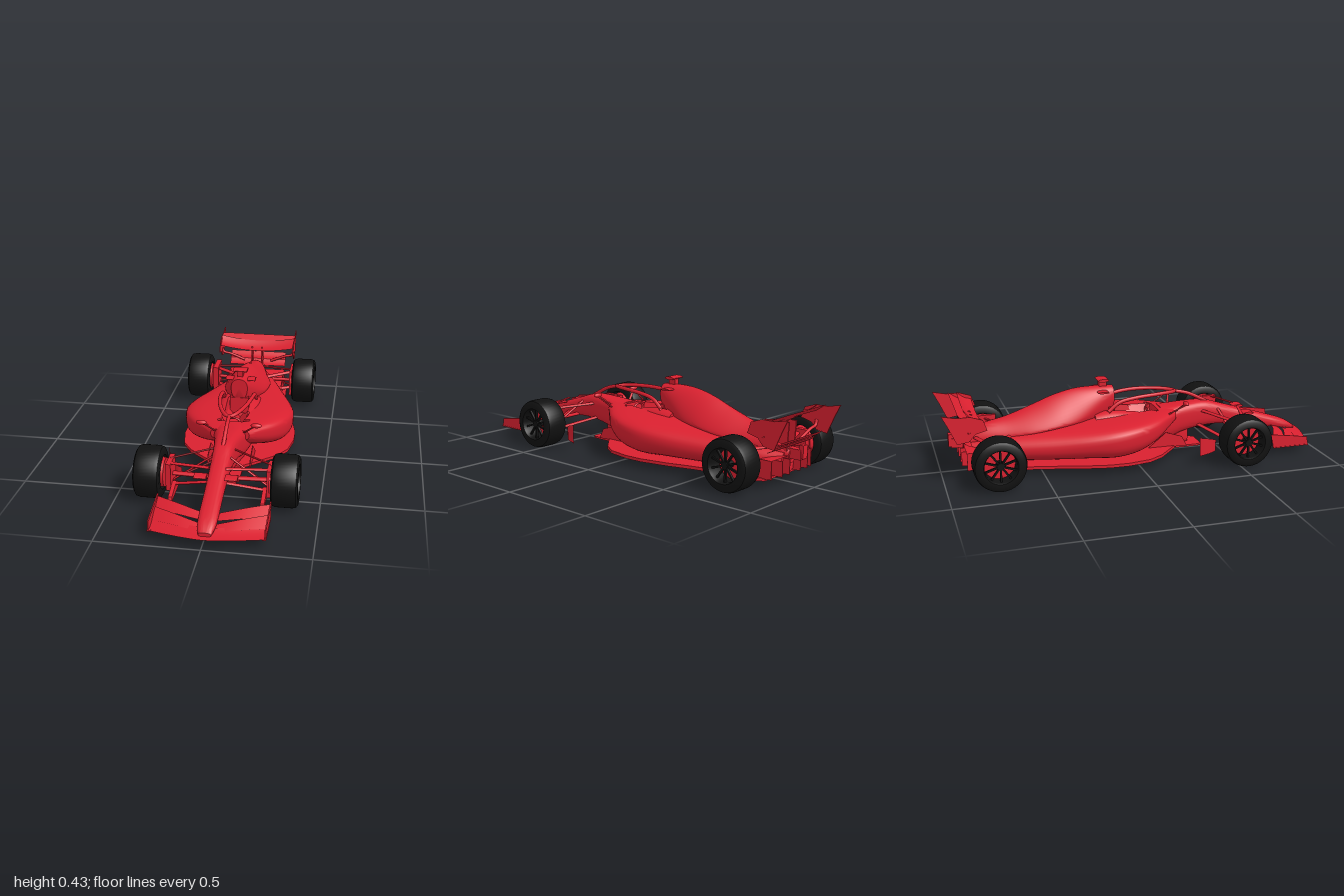
import * as THREE from 'three';
import { toCreasedNormals } from 'three/addons/utils/BufferGeometryUtils.js';

const red = new THREE.MeshStandardMaterial({ color: 0xd9202f, side: THREE.DoubleSide });
const black = new THREE.MeshStandardMaterial({ color: 0x111111, side: THREE.DoubleSide });
const SIDES = [-1, 1];

function add(parent, name, geometry, material = red) {
  const mesh = new THREE.Mesh(geometry, material);
  mesh.name = name;
  parent.add(mesh);
  return mesh;
}

const catmull = (a, b, c, d, t) =>
  b + 0.5 * t * (c - a + t * (2 * a - 5 * b + 4 * c - d + t * (3 * (b - c) + d - a)));

// Superellipse loft, front to back. Station: [z, halfWidth, bottom, widestY, top, power]
function loft(stations, rule, n = 48, steps = 5) {
  const rows = [], pos = [], idx = [], last = stations.length - 1;
  const at = (i) => stations[Math.min(last, Math.max(0, i))];
  for (let k = 0; k <= last * steps; k++) {
    const i = Math.min(last - 1, Math.floor(k / steps)), t = k / steps - i;
    rows.push(at(i).map((_, p) => catmull(at(i - 1)[p], at(i)[p], at(i + 1)[p], at(i + 2)[p], t)));
  }
  for (const [z, w, y0, ym, y1, p] of rows) {
    for (let i = 0; i < n; i++) {
      const a = (i / n) * Math.PI * 2, c = Math.cos(a), s = Math.sin(a);
      const x = w * Math.sign(c) * Math.abs(c) ** (2 / p);
      const y = ym + (s > 0 ? y1 - ym : y0 - ym) * Math.abs(s) ** (2 / p);
      pos.push(x, rule && s > 0 ? rule(x, y, z) : y, z);
    }
  }
  for (let j = 0; j < rows.length - 1; j++) for (let i = 0; i < n; i++) {
    const a = j * n + i, b = j * n + (i + 1) % n;
    idx.push(a, a + n, b, b, a + n, b + n);
  }
  for (const j of [0, rows.length - 1]) {
    const centre = pos.length / 3, r = rows[j];
    pos.push(0, r[3], r[0]);
    for (let i = 0; i < n; i++) {
      const a = j * n + i, b = j * n + (i + 1) % n;
      idx.push(centre, ...(j ? [b, a] : [a, b]));
    }
  }
  const g = new THREE.BufferGeometry();
  g.setAttribute('position', new THREE.Float32BufferAttribute(pos, 3));
  g.setIndex(idx);
  return toCreasedNormals(g, 0.7);
}

const shapeOf = (pts) => new THREE.Shape(pts.map((p) => new THREE.Vector2(...p)));

// Upright plate from [z, y] points, centred on x
const sidePlate = (pts, x, t = 0.006) =>
  new THREE.ExtrudeGeometry(shapeOf(pts), { depth: t, bevelEnabled: false })
    .rotateY(-Math.PI / 2).translate(x + t / 2, 0, 0);

// Flat plate from [x, z] points, with its top at y
const flatPlate = (pts, y, t) =>
  new THREE.ExtrudeGeometry(shapeOf(pts), { depth: t, bevelEnabled: false })
    .rotateX(Math.PI / 2).translate(0, y, 0);

const box = (w, h, d, x, y, z) => new THREE.BoxGeometry(w, h, d).translate(x, y, z);

// Rod between two points; wide stretches it into a blade along z
function rod(a, b, r, wide = 1) {
  const A = new THREE.Vector3(...a), B = new THREE.Vector3(...b), d = B.clone().sub(A);
  return new THREE.CylinderGeometry(r, r, d.length(), 10).scale(1, 1, wide)
    .applyQuaternion(new THREE.Quaternion().setFromUnitVectors(new THREE.Vector3(0, 1, 0), d.normalize()))
    .translate(...A.add(B).multiplyScalar(0.5).toArray());
}

// Thin curved surface: f(u in -1..1, v in 0..1) gives [x, y, z]
function sheet(f, nu = 32, nv = 8) {
  const g = new THREE.PlaneGeometry(2, 1, nu, nv), p = g.attributes.position;
  for (let i = 0; i < p.count; i++) p.setXYZ(i, ...f(p.getX(i), p.getY(i) + 0.5));
  g.computeVertexNormals();
  return g;
}

const tube = (pts, r) => new THREE.TubeGeometry(
  new THREE.CatmullRomCurve3(pts.map((p) => new THREE.Vector3(...p))), 40, r, 10);

// Wheel with its outer face on the side s
function wheel(name, x, y, z, width, s) {
  const g = new THREE.Group(), h = width / 2, R = 0.13;
  g.name = name;
  const profile = [[0.085, -h], [0.112, -h], [0.125, -h + 0.008], [R, -h + 0.025], [R, h - 0.025],
    [0.125, h - 0.008], [0.112, h], [0.085, h], [0.08, h - 0.02], [0.08, -h + 0.01], [0.085, -h]];
  add(g, 'tyre', toCreasedNormals(new THREE.LatheGeometry(
    profile.map((p) => new THREE.Vector2(...p)), 48).rotateZ(-Math.PI / 2), 0.6), black);
  add(g, 'brakeDrum', new THREE.CylinderGeometry(0.079, 0.072, 0.07, 32).rotateZ(Math.PI / 2)
    .translate(-s * 0.04, 0, 0));
  add(g, 'hub', new THREE.CylinderGeometry(0.018, 0.018, 0.05, 16).rotateZ(Math.PI / 2)
    .translate(s * (h - 0.04), 0, 0), black);
  for (let i = 0; i < 10; i++) {
    add(g, 'spoke', new THREE.BoxGeometry(0.012, 0.07, 0.009).translate(s * (h - 0.025), 0.05, 0)
      .rotateX((i / 10) * Math.PI * 2), black);
  }
  g.position.set(x, y, z);
  return g;
}

export function createModel() {
  const model = new THREE.Group(), car = new THREE.Group();
  model.name = 'racingCar';
  car.name = 'bodywork';
  car.position.x = 0.013;
  model.add(car);

  // Cockpit opening sunk into the upper body
  const sink = (x, y, z) => (z < 0.15 && z > -0.13 && Math.abs(x) < 0.058 ? Math.min(y, 0.15) : y);

  // Nose and tub, sidepods, engine cover
  add(car, 'noseAndTub', loft([
    [0.97, 0.03, 0.052, 0.062, 0.072, 2.5], [0.9, 0.044, 0.06, 0.085, 0.112, 2.8],
    [0.7, 0.045, 0.1, 0.135, 0.178, 3], [0.55, 0.048, 0.12, 0.17, 0.225, 3],
    [0.43, 0.054, 0.12, 0.19, 0.26, 3], [0.3, 0.07, 0.1, 0.19, 0.258, 3],
    [0.2, 0.09, 0.07, 0.18, 0.25, 3], [0.05, 0.11, 0.06, 0.17, 0.25, 3],
    [-0.1, 0.12, 0.06, 0.17, 0.268, 3], [-0.2, 0.12, 0.06, 0.17, 0.26, 3]], sink));
  add(car, 'sidepods', loft([
    [0.24, 0.1, 0.18, 0.215, 0.242, 3], [0.18, 0.155, 0.14, 0.205, 0.246, 3],
    [0.1, 0.225, 0.1, 0.19, 0.247, 3.2], [0, 0.275, 0.06, 0.18, 0.245, 3.2],
    [-0.12, 0.293, 0.04, 0.165, 0.24, 3], [-0.25, 0.275, 0.04, 0.15, 0.232, 2.6],
    [-0.42, 0.225, 0.04, 0.13, 0.218, 2.4], [-0.6, 0.165, 0.04, 0.12, 0.2, 2.2],
    [-0.75, 0.11, 0.04, 0.11, 0.18, 2.2], [-0.86, 0.06, 0.05, 0.11, 0.16, 2.2]], sink));
  add(car, 'engineCover', loft([
    [-0.085, 0.044, 0.27, 0.335, 0.384, 2.4], [-0.14, 0.06, 0.2, 0.31, 0.388, 2],
    [-0.28, 0.105, 0.15, 0.24, 0.386, 1.5], [-0.4, 0.125, 0.12, 0.22, 0.36, 1.3],
    [-0.52, 0.12, 0.1, 0.2, 0.315, 1.3], [-0.65, 0.09, 0.1, 0.18, 0.268, 1.5],
    [-0.78, 0.06, 0.1, 0.16, 0.235, 1.8], [-0.88, 0.03, 0.1, 0.14, 0.17, 2]]));

  // Floor with its outline mirrored, and the splitter
  const edge = [[0.06, 0.27], [0.13, 0.21], [0.23, 0.12], [0.28, 0.04], [0.302, -0.08], [0.3, -0.18],
    [0.27, -0.33], [0.235, -0.45], [0.2, -0.6], [0.19, -0.8], [0.16, -0.84]];
  const bothSides = (pts) => [...pts, ...pts.map(([x, z]) => [-x, z]).reverse()];
  add(car, 'floor', flatPlate(bothSides(edge), 0.052, 0.016));
  add(car, 'splitter', flatPlate(bothSides([[0.055, 0.4], [0.07, 0.38], [0.07, 0.2]]), 0.033, 0.01));
  add(car, 'splitterStay', loft([[0.34, 0.01, 0.03, 0.05, 0.14, 2], [0.26, 0.04, 0.03, 0.08, 0.18, 2.5],
    [0.15, 0.07, 0.03, 0.08, 0.18, 2.5]]));

  // Cockpit: seat back, steering wheel, halo
  add(car, 'headrest', box(0.1, 0.09, 0.035, 0, 0.235, -0.1));
  add(car, 'steeringWheel', new THREE.TorusGeometry(0.028, 0.006, 8, 24).scale(1.2, 0.8, 1)
    .translate(0, 0.225, 0.11));
  add(car, 'haloHoop', tube([[-0.088, 0.265, -0.13], [-0.085, 0.31, -0.07], [-0.083, 0.328, 0.02],
    [-0.066, 0.332, 0.14], [-0.028, 0.328, 0.24], [0, 0.324, 0.265], [0.028, 0.328, 0.24],
    [0.066, 0.332, 0.14], [0.083, 0.328, 0.02], [0.085, 0.31, -0.07], [0.088, 0.265, -0.13]], 0.0105));
  add(car, 'haloPillar', tube([[0, 0.325, 0.26], [0, 0.305, 0.34], [0, 0.25, 0.45]], 0.01));

  // Roof camera
  add(car, 'cameraPost', box(0.028, 0.04, 0.04, 0, 0.4, -0.14));
  add(car, 'cameraBar', new THREE.CylinderGeometry(0.03, 0.03, 0.075, 16).scale(0.27, 1, 1)
    .rotateZ(Math.PI / 2).translate(0, 0.42, -0.14));
  add(car, 'airboxWing', new THREE.CylinderGeometry(0.03, 0.03, 0.16, 16).scale(0.17, 1, 1)
    .rotateZ(Math.PI / 2).translate(0, 0.366, -0.15));

  // Front wing: bowed main plane with two flaps swept up at the sides
  const bow = (u) => 1 - 0.065 * Math.abs(u) ** 1.6;
  add(car, 'frontWingMainPlane', sheet((u, v) =>
    [u * 0.268, 0.04 + 0.016 * v * v + 0.012 * (1 - u * u), bow(u) - 0.085 * v]));
  for (const s of SIDES) for (const k of [0, 1]) {
    add(car, 'frontWingFlap', sheet((u, v) => {
      const q = (u + 1) / 2;
      return [s * (0.035 + 0.23 * q), 0.055 + 0.02 * k + (0.015 + 0.016 * q) * v + 0.008 * Math.sin(q * Math.PI),
        bow(q) - 0.07 - 0.065 * k - (0.045 + 0.025 * q) * v];
    }, 16, 4));
  }

  for (const s of SIDES) {
    add(car, 'frontWingEndplate', sidePlate([[0.94, 0.038], [0.93, 0.085], [0.8, 0.105], [0.72, 0.115],
      [0.735, 0.04]], s * 0.268));
    add(car, 'frontWingFootplate', box(0.018, 0.005, 0.2, s * 0.264, 0.04, 0.84));
    add(car, 'nosePod', new THREE.CylinderGeometry(0.03, 0.03, 0.06, 16).scale(0.25, 1, 1)
      .rotateZ(Math.PI / 2).translate(s * 0.074, 0.19, 0.66));

    // Mirrors on stalks
    add(car, 'mirror', new THREE.SphereGeometry(1, 20, 12).scale(0.028, 0.012, 0.014)
      .translate(s * 0.14, 0.29, 0.28));
    add(car, 'mirrorStalk', rod([s * 0.135, 0.285, 0.275], [s * 0.075, 0.235, 0.25], 0.004, 1.8));
    add(car, 'mirrorStrut', rod([s * 0.14, 0.28, 0.275], [s * 0.125, 0.235, 0.19], 0.004));

    // Front suspension
    for (const [y, inY, z0, z1] of [[0.2, 0.215, 0.57, 0.62], [0.2, 0.215, 0.52, 0.4],
      [0.08, 0.14, 0.56, 0.62], [0.08, 0.14, 0.52, 0.38]]) {
      add(car, 'frontWishbone', rod([s * 0.25, y, z0], [s * 0.04, inY, z1], 0.005, 2));
    }
    add(car, 'frontTrackRod', rod([s * 0.25, 0.132, 0.54], [s * 0.04, 0.132, 0.55], 0.009, 1.8));
    add(car, 'frontPushRod', rod([s * 0.24, 0.09, 0.54], [s * 0.045, 0.215, 0.5], 0.005, 1.6));
    add(car, 'frontBrakeDuct', box(0.025, 0.14, 0.12, s * 0.245, 0.135, 0.54));
    add(car, 'frontDuctVane', sidePlate([[0.68, 0.045], [0.67, 0.07], [0.56, 0.1], [0.48, 0.055]], s * 0.222, 0.02));
    add(car, 'wheelWakeVane', sheet((u, v) => {
      const q = (u + 1) / 2;
      return [s * (0.215 + 0.09 * q ** 0.7), 0.05 + v * (0.05 + 0.05 * q), 0.42 - 0.12 * q ** 1.6];
    }, 12, 3));
    add(car, 'floorFence', sidePlate([[0.3, 0.045], [0.27, 0.1], [0.18, 0.13], [0.08, 0.05]], s * 0.11, 0.004));

    // Rear suspension
    for (const [y, inY, z0, z1] of [[0.19, 0.18, -0.74, -0.63], [0.19, 0.18, -0.76, -0.82],
      [0.09, 0.1, -0.74, -0.62], [0.09, 0.1, -0.76, -0.84]]) {
      add(car, 'rearWishbone', rod([s * 0.24, y, z0], [s * 0.05, inY, z1], 0.006, 1.9));
    }
    add(car, 'driveShaft', rod([s * 0.24, 0.132, -0.745], [s * 0.04, 0.132, -0.745], 0.01));
    add(car, 'rearBrakeDuct', box(0.03, 0.15, 0.14, s * 0.23, 0.135, -0.745));

    // Diffuser walls and fences
    add(car, 'diffuserWall', sidePlate([[-0.62, 0.04], [-0.66, 0.09], [-0.8, 0.14], [-0.88, 0.14],
      [-0.88, 0.05]], s * 0.165));
    for (const x of [0.045, 0.105]) {
      add(car, 'diffuserFence', sidePlate([[-0.72, 0.045], [-0.84, 0.13], [-0.9, 0.13], [-0.9, 0.055]], s * x, 0.004));
    }

    // Rear wing endplates
    add(car, 'rearWingEndplate', sidePlate([[-0.78, 0.27], [-0.8, 0.325], [-0.86, 0.345], [-0.93, 0.345],
      [-1, 0.36], [-0.97, 0.3], [-0.93, 0.21], [-0.87, 0.22], [-0.84, 0.255]], s * 0.222));
    add(car, 'endplateFoot', tube([[s * 0.222, 0.27, -0.87], [s * 0.21, 0.245, -0.87], [s * 0.17, 0.235, -0.87],
      [s * 0.08, 0.2, -0.87]], 0.008));
    add(car, 'rearWingPylon', sidePlate([[-0.8, 0.16], [-0.83, 0.3], [-0.88, 0.3], [-0.87, 0.16]], s * 0.03, 0.008));
  }

  // Rear wing planes, beam wing, diffuser roof, tail light
  add(car, 'rearWingMainPlane', sheet((u, v) =>
    [u * 0.22, 0.286 + 0.024 * u * u + 0.04 * v * v, -0.8 - 0.075 * v]));
  add(car, 'rearWingFlap', sheet((u, v) => [u * 0.22, 0.315 + 0.037 * v, -0.865 - 0.055 * v]));
  for (const k of [0, 1]) {
    add(car, 'beamWing', sheet((u, v) =>
      [u * 0.17, 0.175 + 0.03 * k + 0.03 * v * v, -0.85 - 0.035 * k - 0.05 * v]));
  }
  add(car, 'diffuserRoof', sheet((u, v) => [u * 0.165, 0.05 + 0.09 * Math.sin(v * 1.57), -0.62 - 0.26 * v]));
  add(car, 'crashStructure', box(0.04, 0.05, 0.1, 0, 0.15, -0.89));
  add(car, 'tailLight', box(0.035, 0.065, 0.025, 0, 0.165, -0.94));

  // Wheels
  for (const s of SIDES) {
    model.add(wheel('frontWheel', s * 0.332, 0.13, 0.535, 0.13, s));
    model.add(wheel('rearWheel', s * 0.313 - 0.003, 0.132, -0.745, 0.13, s));
  }
  return model;
}
